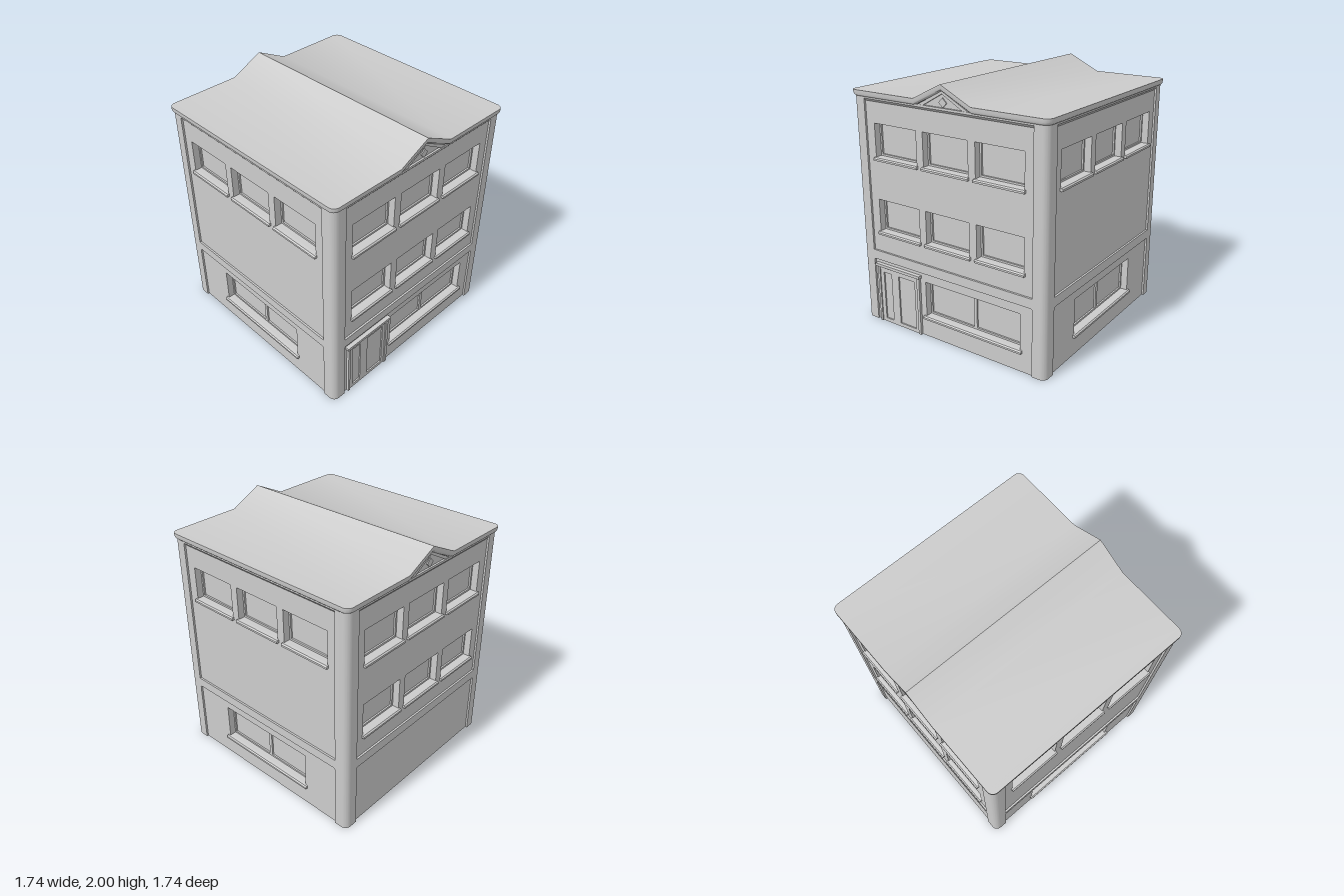
import * as THREE from 'three';
import { toCreasedNormals } from 'three/addons/utils/BufferGeometryUtils.js';

const mat = new THREE.MeshStandardMaterial({ color: 0xcccccc, side: THREE.DoubleSide });
const FACE = 0.84;   // recessed wall plane
const OUT = 0.855;   // pillar and band plane
const BACK = 0.77;   // window pane plane
const HALF = 0.75;   // half width of a wall panel

function add(parent, name, geo) {
  const m = new THREE.Mesh(geo, mat);
  m.name = name;
  parent.add(m);
  return m;
}

// box given by its limits
function box(parent, name, x0, x1, y0, y1, z0, z1) {
  const m = add(parent, name, new THREE.BoxGeometry(x1 - x0, y1 - y0, z1 - z0));
  m.position.set((x0 + x1) / 2, (y0 + y1) / 2, (z0 + z1) / 2);
  return m;
}

const poly = (pts, Type = THREE.Shape) => new Type(pts.map(p => new THREE.Vector2(p[0], p[1])));
const rect = (x0, x1, y0, y1) => [[x0, y0], [x1, y0], [x1, y1], [x0, y1]];

// flat plate with holes between two depths
function plate(parent, name, outline, holes, z0, z1) {
  const s = Array.isArray(outline) ? poly(outline) : outline;
  holes.forEach(h => s.holes.push(poly(h, THREE.Path)));
  const g = new THREE.ExtrudeGeometry(s, { depth: z1 - z0, bevelEnabled: false, curveSegments: 6 });
  g.translate(0, 0, z0);
  return add(parent, name, g);
}

// profile in (z, y) swept along x
function sweepX(parent, name, profile, x0, x1) {
  const g = new THREE.ExtrudeGeometry(poly(profile.map(([z, y]) => [-z, y])), { depth: x1 - x0, bevelEnabled: false });
  g.rotateY(Math.PI / 2);
  g.scale(1, 1, 1);
  g.translate(x0, 0, 0);
  return add(parent, name, g);
}

// recessed window with reveal, frame, panes and a sloping sill
function addWindow(parent, { x0, x1, y0, y1, panes, lip }) {
  const w = new THREE.Group();
  w.name = 'window';
  parent.add(w);
  const o = 0.012, f = 0.014;
  plate(w, 'windowReveal', rect(x0 - o, x1 + o, y0 - o, y1 + o), [rect(x0, x1, y0, y1)], BACK, FACE - 0.015);
  const step = (x1 - x0) / panes, holes = [];
  for (let i = 0; i < panes; i++) {
    holes.push(rect(x0 + i * step + f, x0 + (i + 1) * step - f, y0 + f, y1 - f));
  }
  plate(w, 'windowFrame', rect(x0, x1, y0, y1), holes, BACK, BACK + 0.016);
  box(w, 'windowPane', x0 - o, x1 + o, y0 - o, y1 + o, BACK - 0.006, BACK + 0.003);
  sweepX(w, 'windowSillSlope', [[BACK, y0], [FACE, y0], [FACE + 0.012, y0 - 0.002], [FACE + 0.012, y0 - 0.012], [BACK, y0 - 0.012]], x0, x1);
  sweepX(w, 'windowSill', [[FACE - 0.01, y0 + 0.001], [FACE + 0.012, y0 - 0.001], [FACE + 0.022, y0 - 0.01],
    [FACE + 0.022, y0 - 0.024], [FACE - 0.01, y0 - 0.024]], x0 - lip, x1 + lip);
}

// band between the floors, with filleted inner corners below
function addBand(parent) {
  const s = new THREE.Shape(), r = 0.015, y0 = 0.535, y1 = 0.61;
  s.moveTo(-HALF, y1);
  s.lineTo(-HALF, y0 - r);
  s.lineTo(-HALF + 0.005, y0 - r);
  s.quadraticCurveTo(-HALF + 0.005, y0, -HALF + 0.005 + r, y0);
  s.lineTo(HALF - 0.005 - r, y0);
  s.quadraticCurveTo(HALF - 0.005, y0, HALF - 0.005, y0 - r);
  s.lineTo(HALF, y0 - r);
  s.lineTo(HALF, y1);
  plate(parent, 'floorBand', s, [], FACE - 0.005, OUT);
}

// one wall facing +z, turned into place
function addWall(root, name, turn, rows, shopWindow) {
  const wall = new THREE.Group();
  wall.name = name;
  root.add(wall);
  const wins = [];
  for (const y of rows) {
    for (const x of [-0.467, 0, 0.467]) {
      wins.push({ x0: x - 0.202, x1: x + 0.202, y0: y, y1: y + 0.26, panes: 1, lip: 0.01 });
    }
  }
  if (shopWindow) wins.push({ x0: shopWindow[0], x1: shopWindow[1], y0: 0.175, y1: 0.46, panes: 2, lip: 0.02 });
  plate(wall, 'wallPanel', rect(-HALF, HALF, 0, 1.83), wins.map(w => rect(w.x0, w.x1, w.y0, w.y1)), FACE - 0.02, FACE);
  wins.forEach(w => addWindow(wall, w));
  addBand(wall);
  sweepX(wall, 'eaveMoulding', [[FACE - 0.005, 1.8], [FACE, 1.8], [OUT, 1.818], [OUT, 1.835], [FACE - 0.005, 1.835]], -HALF, HALF);
  wall.rotation.y = turn;
  return wall;
}

// gable infill with a triangular moulding and a diamond
function addGable(wall) {
  const g = new THREE.Group();
  g.name = 'gable';
  wall.add(g);
  plate(g, 'gableWall', [[-0.255, 1.82], [0.255, 1.82], [0, 1.955]], [], FACE - 0.02, FACE);
  plate(g, 'gableMoulding', [[-0.25, 1.822], [0.25, 1.822], [0, 1.953]],
    [[[-0.175, 1.834], [0.175, 1.834], [0, 1.932]]], FACE - 0.005, FACE + 0.012);
  const d = r => [[-r, 1.87], [0, 1.87 - r], [r, 1.87], [0, 1.87 + r]];
  plate(g, 'gableDiamond', d(0.035), [], FACE - 0.005, FACE + 0.008);
}

function addDoor(wall) {
  const d = new THREE.Group();
  d.name = 'door';
  wall.add(d);
  plate(d, 'doorSurround', [[-0.71, 0], [-0.71, 0.485], [-0.28, 0.485], [-0.28, 0], [-0.305, 0], [-0.305, 0.475], [-0.69, 0.475], [-0.69, 0]],
    [], FACE - 0.03, OUT + 0.006);
  plate(d, 'doorLeaf', rect(-0.69, -0.305, 0, 0.475),
    [rect(-0.655, -0.575, 0.03, 0.435), rect(-0.5, -0.335, 0.03, 0.435)], FACE - 0.03, FACE + 0.012);
  box(d, 'doorPanels', -0.71, -0.28, 0, 0.485, FACE - 0.034, FACE + 0.001);
  box(d, 'doorLintel', -0.725, -0.27, 0.483, 0.505, FACE - 0.01, 0.873);
}

// rounded slab raised along the middle to form the ridge
function roofGeometry() {
  const X = 0.868, R = 0.05, N = 6;
  const rise = x => 0.125 * Math.max(0, 1 - Math.abs(x) / 0.255);
  const layers = [[0.018, 1.825], [0.004, 1.838], [0, 1.85], [0, 1.875]];
  const half = e => {
    const c = X - e - R, left = [];
    for (let i = 0; i <= N; i++) {
      const a = (i / N) * Math.PI / 2;
      left.push([-c - R * Math.cos(a), c + R * Math.sin(a)]);
    }
    const right = left.map(([x, z]) => [-x, z]).reverse();
    return [...left, [-0.255, X - e], [0, X - e], [0.255, X - e], ...right];
  };
  const pos = [], idx = [];
  let n = 0;
  for (const [e, y] of layers) {
    const front = half(e);
    const ring = [...front, ...front.map(([x, z]) => [x, -z]).reverse()];
    n = ring.length;
    for (const [x, z] of ring) pos.push(x, y + rise(x), z);
  }
  const quad = (a, b, c, d) => idx.push(a, b, c, a, c, d);
  for (let k = 0; k < layers.length - 1; k++) {
    for (let j = 0; j < n; j++) {
      const j2 = (j + 1) % n;
      quad(k * n + j, k * n + j2, (k + 1) * n + j2, (k + 1) * n + j);
    }
  }
  const top = (layers.length - 1) * n;
  for (let i = 0; i < n / 2 - 1; i++) {
    quad(top + i, top + i + 1, top + n - 2 - i, top + n - 1 - i);
    quad(n - 1 - i, n - 2 - i, i + 1, i);
  }
  const g = new THREE.BufferGeometry();
  g.setAttribute('position', new THREE.Float32BufferAttribute(pos, 3));
  g.setIndex(idx);
  return toCreasedNormals(g, 0.5);
}

export function createModel() {
  const root = new THREE.Group();
  root.name = 'building';

  // walls
  const upper = 1.377, middle = 0.78;
  const front = addWall(root, 'frontWall', 0, [upper, middle], [-0.23, 0.635]);
  const back = addWall(root, 'backWall', Math.PI, [upper, middle], null);
  addWall(root, 'leftWall', Math.PI / 2, [upper], [-0.433, 0.433]);
  addWall(root, 'rightWall', -Math.PI / 2, [upper], [-0.433, 0.433]);
  addGable(front);
  addGable(back);
  addDoor(front);

  // corner pillars with a rounded outer edge
  const s = new THREE.Shape(), a = 0.745, r = 0.05;
  s.moveTo(a, a);
  s.lineTo(OUT, a);
  s.lineTo(OUT, OUT - r);
  s.absarc(OUT - r, OUT - r, r, 0, Math.PI / 2, false);
  s.lineTo(a, OUT);
  const pillar = new THREE.ExtrudeGeometry(s, { depth: 1.83, bevelEnabled: false, curveSegments: 8 });
  pillar.rotateX(-Math.PI / 2);
  const pillarGeo = toCreasedNormals(pillar, 0.5);
  for (let i = 0; i < 4; i++) add(root, 'cornerPillar', pillarGeo).rotation.y = i * Math.PI / 2;

  add(root, 'roof', roofGeometry());
  return root;
}
